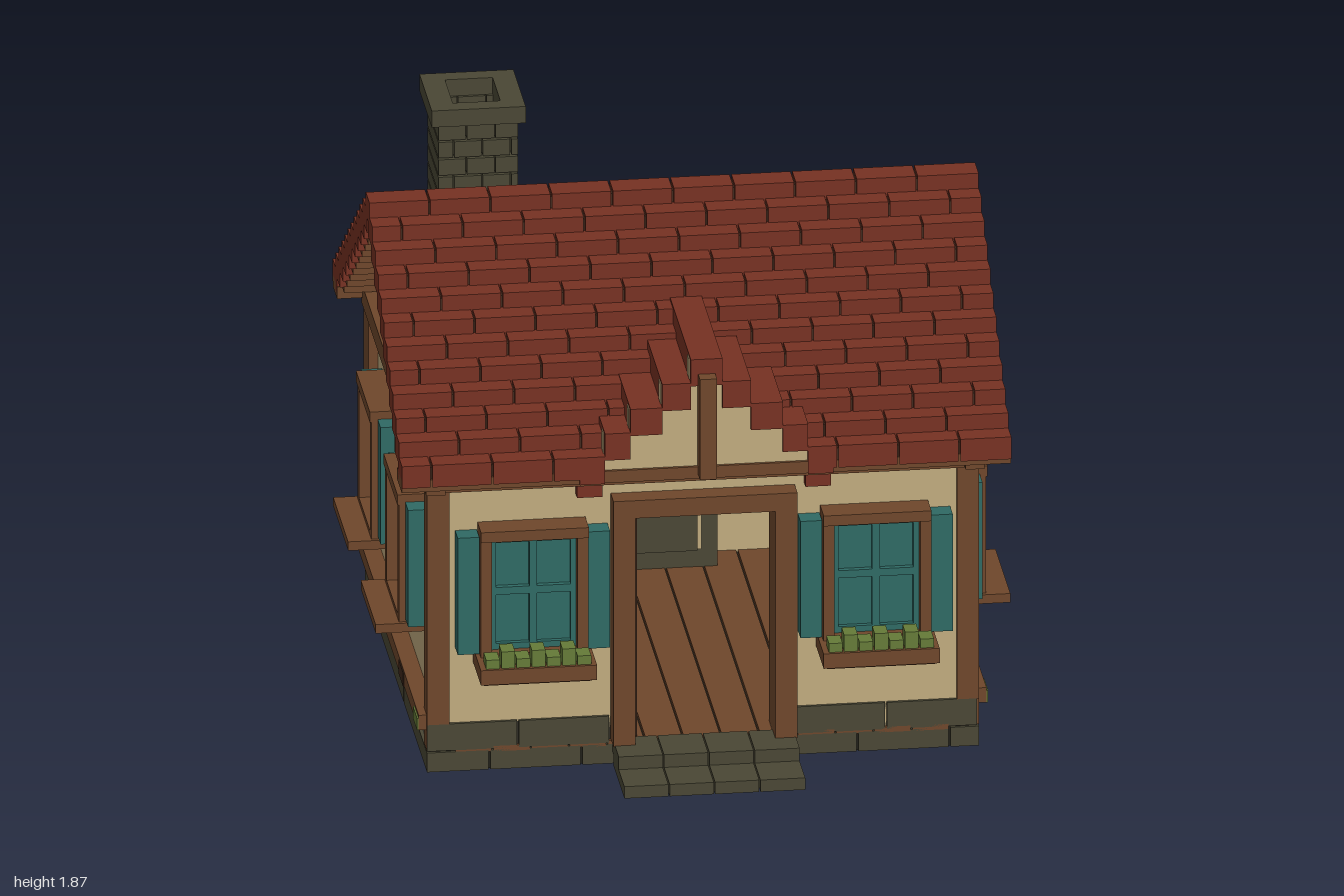
import * as THREE from 'three';
import { mergeGeometries } from 'three/addons/utils/BufferGeometryUtils.js';

const mat = (name, color) => {
  const m = new THREE.MeshStandardMaterial({ color });
  m.name = name;
  return m;
};
const plaster = mat('plaster', 0xc0ab7e);
const timber = mat('timber', 0x6f472b);
const darkTimber = mat('dark timber', 0x40291c);
const stone = mat('stone', 0x4a4735);
const mortar = mat('mortar', 0x2c2a22);
const tileRed = mat('roof tile', 0x773122);
const teal = mat('teal paint', 0x2f6a64);
const leaf = mat('leaf green', 0x657b38);

// Box geometry given by its limits
function boxGeo(x0, x1, y0, y1, z0, z1) {
  return new THREE.BoxGeometry(x1 - x0, y1 - y0, z1 - z0)
    .translate((x0 + x1) / 2, (y0 + y1) / 2, (z0 + z1) / 2);
}

// One mesh made of one or more boxes, each a list of six limits
function boxes(parent, name, material, ...list) {
  const mesh = new THREE.Mesh(mergeGeometries(list.map((b) => boxGeo(...b))), material);
  mesh.name = name;
  parent.add(mesh);
  return mesh;
}

function group(parent, name) {
  const g = new THREE.Group();
  g.name = name;
  parent.add(g);
  return g;
}

// Split the span a..b at joints of a given pitch, leaving narrow gaps
function split(a, b, pitch, offset, gap = 0.006) {
  const out = [];
  let s = a;
  for (let e = a + (offset || pitch); s < b - 0.01; e += pitch) {
    const end = Math.min(e, b);
    out.push([s, end < b ? end - gap : b]);
    s = end;
  }
  return out;
}

// Window facing +z with its back on z = 0
function windowUnit(parent, name, planted) {
  const g = group(parent, name);
  boxes(g, 'windowPane', teal, [-0.14, 0.14, 0.4, 0.81, 0, 0.03]);
  boxes(g, 'glazingBars', teal, [-0.012, 0.012, 0.42, 0.8, 0.03, 0.05],
    [-0.135, 0.135, 0.605, 0.63, 0.03, 0.048],
    [-0.14, -0.118, 0.42, 0.8, 0.03, 0.048], [0.118, 0.14, 0.42, 0.8, 0.03, 0.048],
    [-0.118, 0.118, 0.42, 0.44, 0.03, 0.046], [-0.118, 0.118, 0.78, 0.8, 0.03, 0.046]);
  boxes(g, 'windowFrame', timber, [-0.17, 0.17, 0.8, 0.835, 0, 0.09],
    [-0.17, -0.135, 0.4, 0.8, 0, 0.085], [0.135, 0.17, 0.4, 0.8, 0, 0.085],
    [-0.17, 0.17, 0.4, 0.42, 0, 0.085]);
  boxes(g, 'shutters', teal, [-0.24, -0.172, 0.415, 0.81, 0, 0.065], [0.172, 0.24, 0.415, 0.81, 0, 0.065]);
  if (planted) {
    boxes(g, 'flowerBox', timber, [-0.183, 0.183, 0.36, 0.41, 0, 0.19], [-0.17, 0.17, 0.35, 0.36, 0, 0.17]);
    const plants = [];
    for (let i = 0; i < 7; i++) {
      const x = -0.165 + i * 0.048;
      plants.push([x, x + 0.043, 0.41, 0.44 + 0.013 * ((i * 2) % 4), 0.115, 0.18]);
    }
    boxes(g, 'plants', leaf, ...plants);
  } else {
    boxes(g, 'windowSill', timber, [-0.183, 0.183, 0.375, 0.405, 0, 0.16]);
  }
  return g;
}

function buildWalls(house) {
  // Foundation: mortar core with stone courses
  boxes(house, 'foundationCore', mortar, [-0.86, 0.86, 0, 0.065, -0.815, 0.7],
    [-0.84, -0.29, 0.06, 0.155, 0.6, 0.7], [0.29, 0.84, 0.06, 0.155, 0.6, 0.7],
    [-0.86, 0.86, 0.062, 0.155, -0.86, -0.8]);
  const blocks = [];
  for (const [a, b] of split(-0.87, 0.87, 0.29, 0.2)) {
    blocks.push([a, b, 0, 0.065, 0.65, 0.71], [a, b, 0, 0.06, -0.82, -0.76]);
  }
  for (const [a, b] of split(-0.87, 0.87, 0.29)) {
    if (b < -0.28 || a > 0.28) blocks.push([a, b, 0.07, 0.16, 0.65, 0.71]);
    blocks.push([a, b, 0.06, 0.16, -0.87, -0.8]);
  }
  for (const [a, b] of split(-0.76, 0.65, 0.3)) {
    blocks.push([-0.87, -0.8, 0, 0.065, a, b], [0.8, 0.87, 0, 0.065, a, b]);
  }
  boxes(house, 'foundationStones', stone, ...blocks);
  boxes(house, 'floorBoards', timber, ...split(-0.78, 0.78, 0.12).map(([a, b]) => [a, b, 0.06, 0.078, -0.78, 0.71]));

  // Plaster walls around the doorway
  boxes(house, 'frontWall', plaster, [-0.84, -0.22, 0.07, 1.03, 0.64, 0.7], [0.22, 0.84, 0.07, 1.03, 0.64, 0.7],
    [-0.22, 0.22, 0.86, 1.03, 0.64, 0.7]);
  boxes(house, 'backWall', plaster, [-0.84, 0.84, 0.07, 1.03, -0.84, -0.78]);
  boxes(house, 'sideWalls', plaster, [-0.84, -0.78, 0.065, 1.03, -0.8, 0.66], [0.78, 0.84, 0.065, 1.03, -0.8, 0.66]);
  const tri = new THREE.Shape([[-0.74, 1.0], [0.84, 1.0], [0.05, 1.555]].map((p) => new THREE.Vector2(...p)));
  for (const s of [-1, 1]) {
    const gable = new THREE.Mesh(new THREE.ExtrudeGeometry(tri, { depth: 0.06, bevelEnabled: false })
      .rotateY(Math.PI / 2), plaster);
    gable.name = s > 0 ? 'leftGable' : 'rightGable';
    gable.position.x = s > 0 ? 0.78 : -0.84;
    house.add(gable);
  }

  // Timber framing
  for (const s of [-1, 1]) {
    const span = (a, b, ...rest) => [Math.min(s * a, s * b), Math.max(s * a, s * b), ...rest];
    boxes(house, 'sideFraming', timber, span(0.8, 0.87, 0.16, 0.97, 0.635, 0.712),
      span(0.83, 0.87, 0.07, 0.17, 0.635, 0.705), span(0.8, 0.87, 0.16, 0.97, -0.85, -0.735),
      span(0.83, 0.87, 0.07, 0.17, -0.82, -0.735), span(0.82, 0.87, 0.07, 0.97, -0.09, -0.01),
      span(0.82, 0.88, 0.96, 1.025, -0.83, 0.77), span(0.82, 0.895, 0.14, 0.19, -0.82, 0.7));
    boxes(house, 'framingWear', darkTimber, span(0.88, 0.898, 0.138, 0.185, 0.23, 0.34),
      span(0.86, 0.873, 0.55, 0.63, -0.78, -0.735));
  }
  boxes(house, 'moss', leaf, [0.88, 0.9, 0.14, 0.18, 0.6, 0.7], [-0.9, -0.88, 0.14, 0.18, 0.6, 0.7]);
  boxes(house, 'wallPlates', timber, [-0.87, 0.87, 0.955, 0.985, 0.66, 0.74], [-0.87, 0.87, 0.96, 1.02, -0.86, -0.8]);
  boxes(house, 'eaveBoards', timber, [-0.96, 0.96, 0.985, 1.025, 0.68, 0.795], [-0.96, 0.96, 0.985, 1.025, -0.9, -0.8]);
}

function buildDoorway(house) {
  const g = group(house, 'doorway');
  boxes(g, 'doorFrame', timber, [-0.29, -0.22, 0.08, 0.91, 0.62, 0.77], [0.22, 0.29, 0.08, 0.91, 0.62, 0.77],
    [-0.22, 0.22, 0.85, 0.91, 0.62, 0.77]);
  boxes(g, 'openDoor', darkTimber, [-0.235, -0.205, 0.08, 0.82, 0.25, 0.69]);
  // Hearth seen through the doorway
  boxes(g, 'hearth', stone, [-0.22, 0.22, 0.075, 0.48, -0.78, -0.66], [-0.155, 0.155, 0.14, 0.44, -0.66, -0.64]);
  boxes(g, 'hearthTrim', plaster, [-0.17, 0.17, 0.14, 0.455, -0.66, -0.652]);
  boxes(g, 'mantel', timber, [-0.23, 0.23, 0.48, 0.53, -0.78, -0.62]);
  // Steps of three slabs each
  for (const [a, b] of split(-0.285, 0.285, 0.143, 0.143, 0.004)) {
    boxes(g, 'stepSlab', stone, [a, b, 0, 0.04, 0.73, 1.0], [a, b, 0.04, 0.083, 0.7, 0.86]);
  }
}

function buildRoof(house) {
  const g = group(house, 'roof');
  const ROWS = 11, RIDGE = -0.05;
  const tiles = [], backing = [], battens = [];
  const course = (z0, z1, top, odd, spans) => {
    for (const [from, to] of spans) {
      for (const [a, b] of split(from, to, 0.192, odd ? 0.096 : 0.192)) tiles.push([a, b, top - 0.075, top, z0, z1]);
      backing.push([from + 0.01, to - 0.01, top - 0.07, top - 0.012, z0 + 0.01, z1 - 0.01]);
    }
  };
  const full = [[-0.96, 0.96]];
  course(RIDGE - 0.045, RIDGE + 0.045, 1.637, false, full);
  for (const s of [-1, 1]) {
    const d = ((s > 0 ? 0.85 : 0.86) - 0.045) / ROWS;
    for (let i = 1; i <= ROWS; i++) {
      const outer = RIDGE + s * (0.045 + i * d), inner = outer - s * (d + 0.03);
      const top = 1.637 - i * 0.051;
      const z0 = Math.min(outer, inner), z1 = Math.max(outer, inner);
      // The lowest front course stops either side of the porch gable
      const spans = s > 0 && i === ROWS ? [[-0.96, -0.32], [0.32, 0.96]] : full;
      course(z0, z1, top, i % 2 === 1, spans);
      if (i < ROWS) battens.push([-0.945, 0.945, top - 0.1, top - 0.075, z0 + 0.012, z1 - 0.012]);
    }
  }
  boxes(g, 'roofTiles', tileRed, ...tiles);
  boxes(g, 'tileBacking', darkTimber, ...backing);
  boxes(g, 'battens', timber, ...battens);

  // Porch gable: stepped courses running back into the main slope
  const p = group(g, 'porchGable');
  const halfWidths = [0.05, 0.14, 0.24, 0.32, 0.4];
  halfWidths.forEach((w, k) => {
    const top = 1.39 - k * 0.079, inner = k ? halfWidths[k - 1] : 0;
    const back = 0.25 + k * 0.11;
    if (k < 4) {
      boxes(p, 'porchGableFace', plaster, [-w, w, 1.025, 1.3 - k * 0.077, 0.74, 0.785]);
      boxes(p, 'porchCourseEnds', plaster, [-w - 0.003, w + 0.003, top - 0.075, top - 0.008, 0.735, 0.775]);
    }
    for (const s of [-1, 1]) {
      const a = s > 0 ? inner : -w, b = s > 0 ? w : -inner;
      boxes(p, 'porchCourse', tileRed, [a, b, top - 0.09, top, back, 0.8],
        [a, b, top - 0.16, top - 0.08, back, 0.735]);
    }
  });
  boxes(p, 'kingPost', timber, [-0.027, 0.027, 1.0, 1.34, 0.78, 0.845]);
}

function buildChimney(house) {
  const g = group(house, 'chimney');
  const X0 = -0.72, X1 = -0.47, Z0 = -0.45, Z1 = -0.18, T = 0.05;
  const bricks = [];
  // Courses of brick around an open flue
  for (let i = 0; i < 9; i++) {
    const y1 = 1.816 - i * 0.059, y0 = y1 - 0.053, off = i % 2 ? 0.05 : 0.09;
    for (const [a, b] of split(X0, X1, 0.09, off, 0.004)) bricks.push([a, b, y0, y1, Z0, Z0 + T], [a, b, y0, y1, Z1 - T, Z1]);
    for (const [a, b] of split(Z0 + T, Z1 - T, 0.09, off, 0.004)) bricks.push([X0, X0 + T, y0, y1, a, b], [X1 - T, X1, y0, y1, a, b]);
  }
  boxes(g, 'chimneyBricks', stone, ...bricks);
  boxes(g, 'chimneyCap', stone, [-0.743, -0.447, 1.816, 1.872, -0.467, -0.41], [-0.743, -0.447, 1.816, 1.872, -0.22, -0.163],
    [-0.743, -0.67, 1.816, 1.872, -0.41, -0.22], [-0.52, -0.447, 1.816, 1.872, -0.41, -0.22]);
}

export function createModel() {
  const house = new THREE.Group();
  house.name = 'cottage';
  buildWalls(house);
  buildDoorway(house);
  buildRoof(house);
  buildChimney(house);

  // Windows: two in front with flower boxes, two on each side, one at the back
  for (const s of [-1, 1]) {
    windowUnit(house, 'frontWindow', true).position.set(s * 0.54, 0, 0.7);
    for (const z of [0.28, -0.4]) {
      const w = windowUnit(house, 'sideWindow', false);
      w.position.set(s * 0.84, 0, z);
      w.rotation.y = s * Math.PI / 2;
    }
  }
  const rear = windowUnit(house, 'backWindow', false);
  rear.position.z = -0.84;
  rear.rotation.y = Math.PI;
  return house;
}
